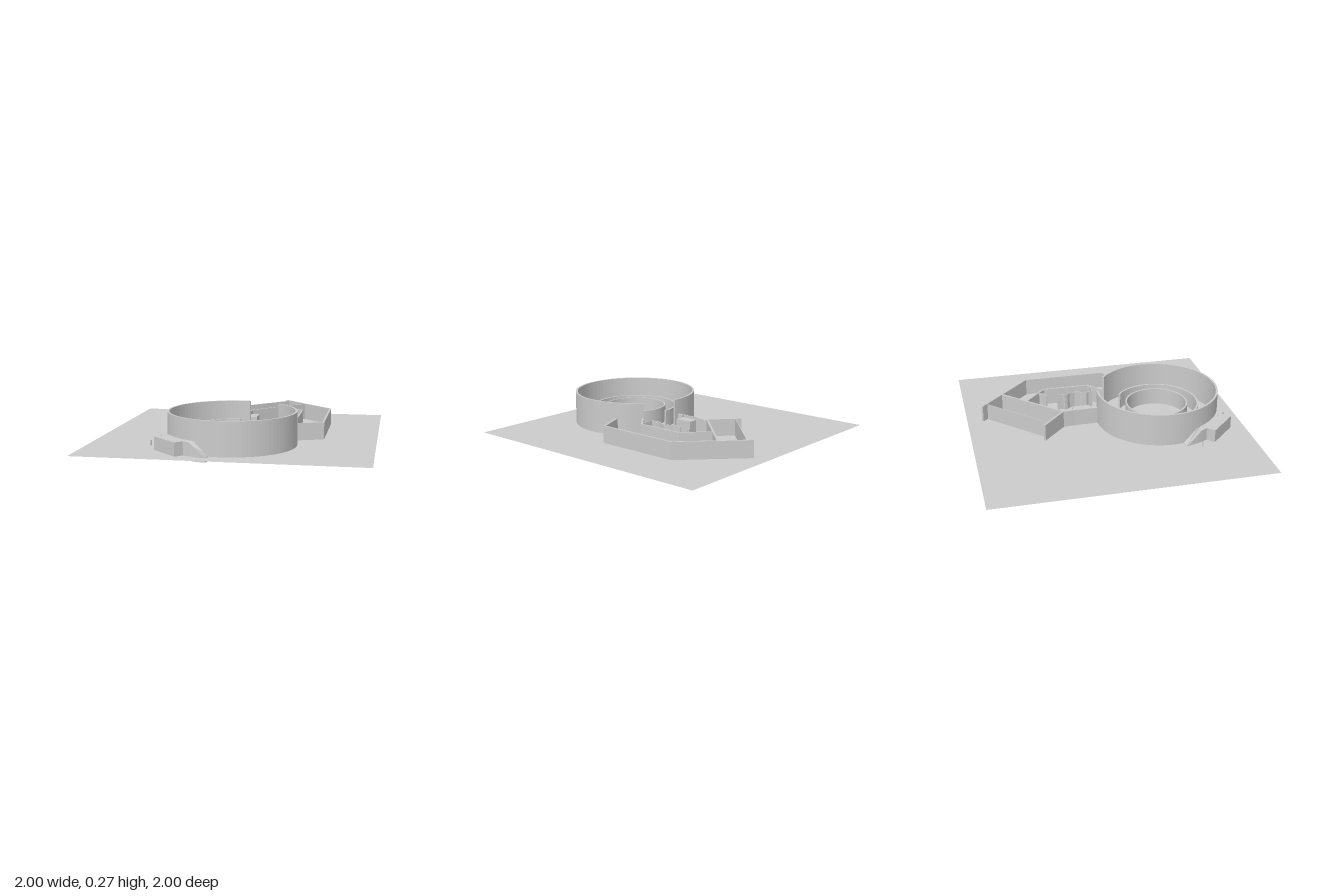
import * as THREE from 'three';

const FLOOR = 0.03, LOW = 0.155, HIGH = 0.27;
const CX = 0, CZ = 0.405; // centre of the round hall

export function createModel() {
  const model = new THREE.Group();
  const material = new THREE.MeshStandardMaterial({ color: 0xcccccc, side: THREE.DoubleSide });

  const add = (name, geometry) => {
    geometry.computeVertexNormals();
    const mesh = new THREE.Mesh(geometry, material);
    mesh.name = name;
    model.add(mesh);
    return mesh;
  };

  // upright prism over a plan outline given as [x, z] points
  const prism = (plan, y0, y1) => {
    const shape = new THREE.Shape(plan.map(([x, z]) => new THREE.Vector2(x, -z)));
    return new THREE.ExtrudeGeometry(shape, { depth: y1 - y0, bevelEnabled: false })
      .rotateX(-Math.PI / 2).translate(0, y0, 0);
  };

  // wall of even thickness along a plan path, mitred at the corners
  const wall = (name, path, t = 0.015, y1 = LOW, y0 = FLOOR) => {
    const p = path.map(([x, z]) => new THREE.Vector2(x, z));
    const left = [], right = [];
    p.forEach((q, i) => {
      const a = q.clone().sub(p[i - 1] ?? q).normalize();
      const b = (p[i + 1] ?? q).clone().sub(q).normalize();
      if (i === 0) a.copy(b);
      if (i === p.length - 1) b.copy(a);
      const n = new THREE.Vector2(-a.y - b.y, a.x + b.x).normalize();
      const s = t / 2 / Math.max(0.4, n.dot(new THREE.Vector2(-a.y, a.x)));
      left.push([q.x + n.x * s, q.y + n.y * s]);
      right.unshift([q.x - n.x * s, q.y - n.y * s]);
    });
    return add(name, prism([...left, ...right], y0, y1));
  };

  // plan of a ring sector; degrees run from the back (-z) towards +x
  const sector = (r0, r1, from, to, steps) => {
    const arc = (r) => Array.from({ length: steps + 1 }, (_, i) => {
      const a = THREE.MathUtils.degToRad(from + (to - from) * i / steps);
      return [CX + r * Math.sin(a), CZ - r * Math.cos(a)];
    });
    return [...arc(r0), ...arc(r1).reverse()];
  };

  // ground sheet
  add('ground', new THREE.PlaneGeometry(2, 2).rotateX(-Math.PI / 2).translate(0, FLOOR, 0));

  // concentric round walls, the outer two with an opening at the back
  add('outerRingWall', prism(sector(0.44, 0.455, 39, 367, 80), FLOOR, HIGH));
  add('middleRingWall', prism(sector(0.302, 0.316, 40, 360, 72), FLOOR, LOW));
  const ring = new THREE.Shape().absarc(0, 0, 0.233, 0, Math.PI * 2);
  ring.holes.push(new THREE.Path().absarc(0, 0, 0.221, 0, Math.PI * 2));
  add('innerRingWall', new THREE.ExtrudeGeometry(ring, { depth: LOW - FLOOR, bevelEnabled: false, curveSegments: 36 })
    .rotateX(-Math.PI / 2).translate(CX, FLOOR, CZ));

  // angular back building
  wall('outerBackWall', [[0.405, 0.208], [0.613, 0.125], [0.613, -0.498], [0.22, -0.885]]);
  wall('wingWall', [[-0.183, -0.482], [0.0, -0.312], [0.006, -0.225]]);
  wall('diagonalWall', [[0.016, -0.225], [0.016, -0.325], [0.39, -0.712]], 0.014);
  wall('wingScreen', [[-0.145, -0.455], [0.245, -0.842]], 0.004);
  wall('innerRoomWall', [[0.228, -0.552], [0.405, -0.39], [0.405, -0.04], [0.283, 0.065]], 0.012);

  // entrance passage with its counter
  wall('entrancePanel', [[0.002, -0.225], [0.002, -0.09]], 0.006);
  wall('entranceWall', [[0.012, -0.09], [0.012, -0.035]], 0.022);
  add('entranceCounter', prism([[0.02, -0.225], [0.092, -0.225], [0.092, -0.095], [0.02, -0.095]], FLOOR, 0.14));

  // thin irregular partitions inside the room
  wall('ruggedPartitionBack', [[0.35, -0.43], [0.325, -0.4], [0.312, -0.395], [0.305, -0.385], [0.282, -0.382]], 0.006);
  wall('ruggedPartition', [[0.285, -0.3], [0.288, -0.255], [0.274, -0.245], [0.278, -0.225], [0.298, -0.205],
    [0.308, -0.165], [0.298, -0.125], [0.28, -0.105], [0.274, -0.075], [0.284, -0.06], [0.284, -0.028], [0.375, -0.026]], 0.006);

  // landing set diagonally against the round wall
  const landing = add('landing', new THREE.BoxGeometry(0.265, 0.125 - FLOOR, 0.129));
  landing.position.set(CX - 0.4925 * Math.SQRT1_2, (0.125 + FLOOR) / 2, CZ + 0.4925 * Math.SQRT1_2);
  landing.rotation.y = -Math.PI / 4;

  // curved ramps falling away from both sides of the landing
  for (const [name, side] of [['leftRamp', -1], ['rightRamp', 1]]) {
    const geometry = prism(sector(0.453, 0.507, 225 + side * 15, 225 + side * 35, 12), 0, 1);
    const pos = geometry.attributes.position;
    for (let i = 0; i < pos.count; i++) {
      if (pos.getY(i) < 0.5) continue;
      const deg = THREE.MathUtils.radToDeg(Math.atan2(CX - pos.getX(i), pos.getZ(i) - CZ));
      const t = THREE.MathUtils.clamp((Math.abs(deg - 45) - 21) / 14, 0, 1);
      pos.setY(i, 0.125 - 0.092 * t);
    }
    add(name, geometry);
  }

  // small marker standing beside the ramp
  add('marker', new THREE.BoxGeometry(0.01, 0.037, 0.006).translate(-0.54, 0.057, 0.597));

  return model;
}
